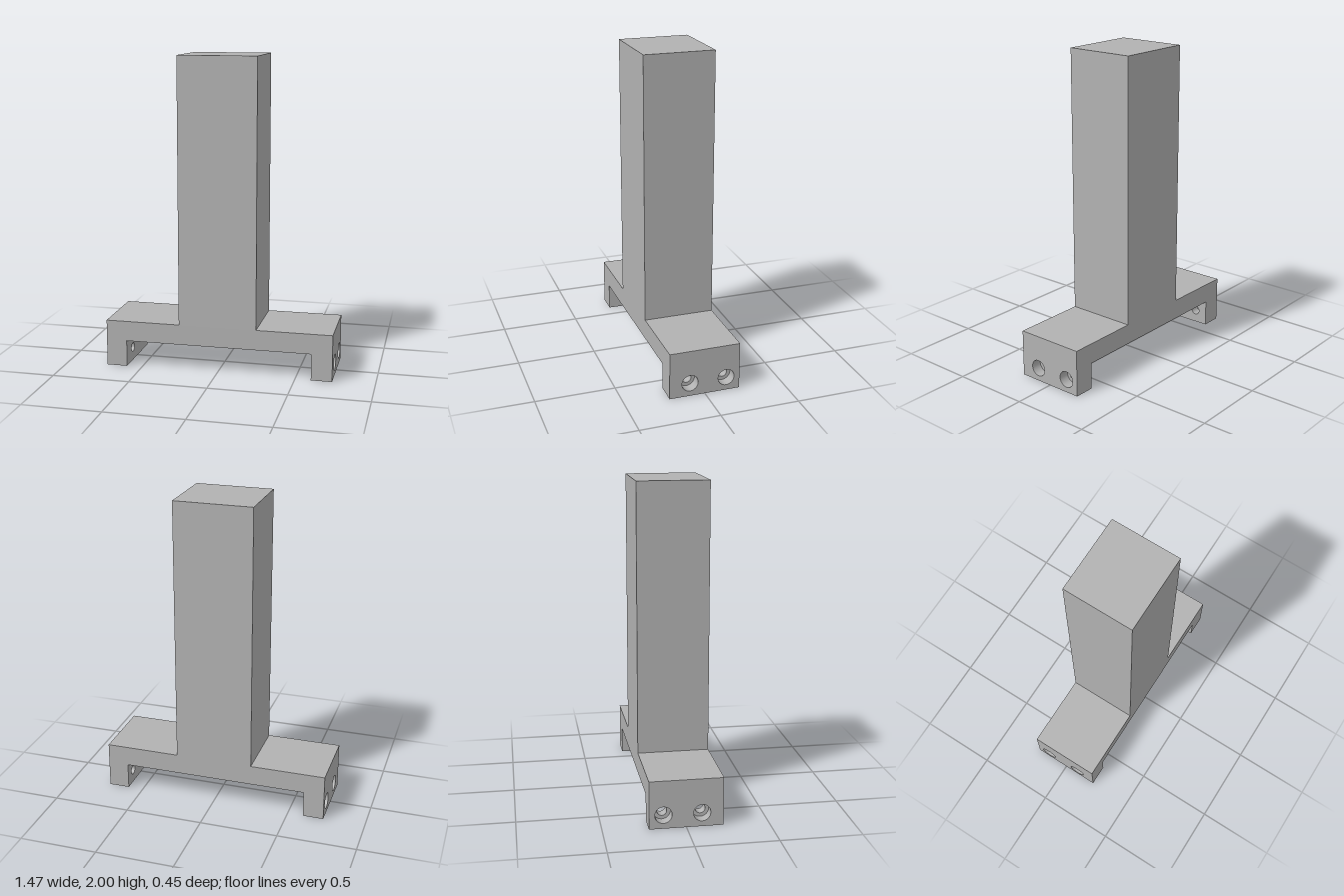
import * as THREE from 'three';

const HALF_DEPTH = 0.225;
const LEG_TOP = 0.17;
const LEG_IN = 0.6, LEG_STEP = 0.665, LEG_OUT = 0.733;
const HOLE_Y = 0.085;
const HOLE_Z = [0.095, -0.138];

// Slab of a leg between two x positions, pierced by two round holes along x
function legSlab(x0, x1, radius, material) {
  const shape = new THREE.Shape([
    new THREE.Vector2(-HALF_DEPTH, 0),
    new THREE.Vector2(HALF_DEPTH, 0),
    new THREE.Vector2(HALF_DEPTH, LEG_TOP),
    new THREE.Vector2(-HALF_DEPTH, LEG_TOP),
  ]);
  for (const z of HOLE_Z) {
    const hole = new THREE.Path();
    hole.absarc(-z, HOLE_Y, radius, 0, Math.PI * 2, true);
    shape.holes.push(hole);
  }
  const geometry = new THREE.ExtrudeGeometry(shape, {
    depth: x1 - x0, bevelEnabled: false, curveSegments: 32,
  });
  geometry.rotateY(Math.PI / 2); // extrusion now runs along +x
  geometry.translate(x0, 0, 0);
  return new THREE.Mesh(geometry, material);
}

export function createModel() {
  const model = new THREE.Group();
  model.name = 'columnBracket';
  const grey = new THREE.MeshStandardMaterial({ color: 0xb2b2b2 });
  grey.name = 'grey';

  // Column and crossbar as one inverted T
  const profile = new THREE.Shape([
    [-LEG_OUT, LEG_TOP], [LEG_OUT, LEG_TOP], [LEG_OUT, 0.3], [0.25, 0.3],
    [0.25, 2], [-0.25, 2], [-0.25, 0.3], [-LEG_OUT, 0.3],
  ].map(([x, y]) => new THREE.Vector2(x, y)));
  const bodyGeometry = new THREE.ExtrudeGeometry(profile, {
    depth: HALF_DEPTH * 2, bevelEnabled: false,
  });
  bodyGeometry.translate(0, 0, -HALF_DEPTH);
  const body = new THREE.Mesh(bodyGeometry, grey);
  body.name = 'columnAndCrossbar';
  model.add(body);

  // Legs: narrow screw holes inside, wide counterbores outside
  for (const [name, side] of [['leftLeg', 1], ['rightLeg', -1]]) {
    const leg = new THREE.Group();
    leg.name = name;
    const span = (a, b) => (side > 0 ? [a, b] : [-b, -a]);
    const inner = legSlab(...span(LEG_IN, LEG_STEP), 0.03, grey);
    inner.name = name + 'ScrewHoles';
    const outer = legSlab(...span(LEG_STEP, LEG_OUT), 0.052, grey);
    outer.name = name + 'Counterbores';
    leg.add(inner, outer);
    model.add(leg);
  }
  return model;
}
